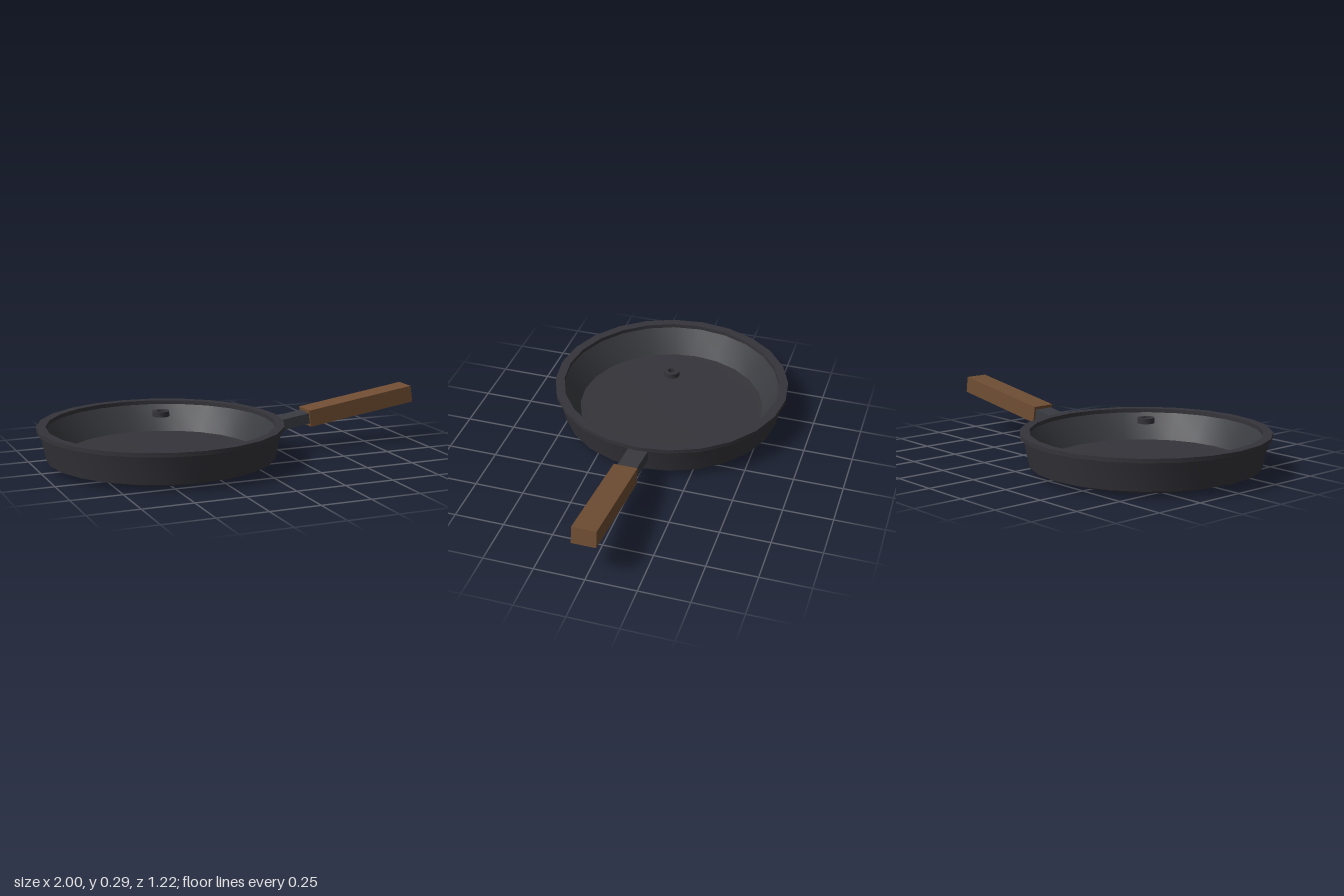
import * as THREE from 'three';
import { toCreasedNormals } from 'three/addons/utils/BufferGeometryUtils.js';

const PAN_X = -0.388;  // centre of the pan
const TILT = 0.143;    // upward slope of the handle

export function createModel() {
  const model = new THREE.Group();
  model.name = 'fryingPan';

  const iron = new THREE.MeshStandardMaterial({ name: 'dark iron', color: 0x35343a });
  const steel = new THREE.MeshStandardMaterial({ name: 'dark steel', color: 0x3a3b40 });
  const wood = new THREE.MeshStandardMaterial({ name: 'brown wood', color: 0x704e33 });

  const add = (name, geometry, material, x, y = 0) => {
    const mesh = new THREE.Mesh(geometry, material);
    mesh.name = name;
    mesh.position.set(x, y, 0);
    model.add(mesh);
    return mesh;
  };

  // Turned part with crisp edges between its bands
  const turned = (profile, sides) => toCreasedNormals(
    new THREE.LatheGeometry(profile.map(([r, y]) => new THREE.Vector2(r, y)), sides), 0.45);

  // Pan: stepped base, flared wall and overhanging lip
  add('panBody', turned([
    [0, 0], [0.46, 0], [0.487, 0.035], [0.568, 0.035], [0.598, 0.175],
    [0.612, 0.175], [0.612, 0.195], [0.565, 0.195], [0.565, 0.175],
  ], 24), iron, PAN_X);

  // Inside of the pan: sloping wall and sunken floor
  add('innerWall', turned([[0.565, 0.175], [0.485, 0.046]], 24), steel, PAN_X);
  add('floor', turned([[0.485, 0.046], [0.45, 0.044], [0, 0.044]], 24), iron, PAN_X);

  // Small ring hovering above the middle of the pan
  add('ring', turned([
    [0.02, 0.233], [0.041, 0.233], [0.041, 0.259], [0.02, 0.259], [0.02, 0.233],
  ], 16), iron, PAN_X);

  // Tilted handle: both pieces lie on one sloping centre line
  const handlePart = (name, material, x0, x1, height, width) => {
    const x = (x0 + x1) / 2;
    const y = 0.205 + (x - 0.695) * Math.tan(TILT);
    const length = (x1 - x0) / Math.cos(TILT);
    add(name, new THREE.BoxGeometry(length, height, width), material, x, y).rotation.z = TILT;
  };
  handlePart('handleNeck', steel, 0.18, 0.44, 0.054, 0.1);
  handlePart('handleGrip', wood, 0.401, 0.994, 0.086, 0.12);

  return model;
}
